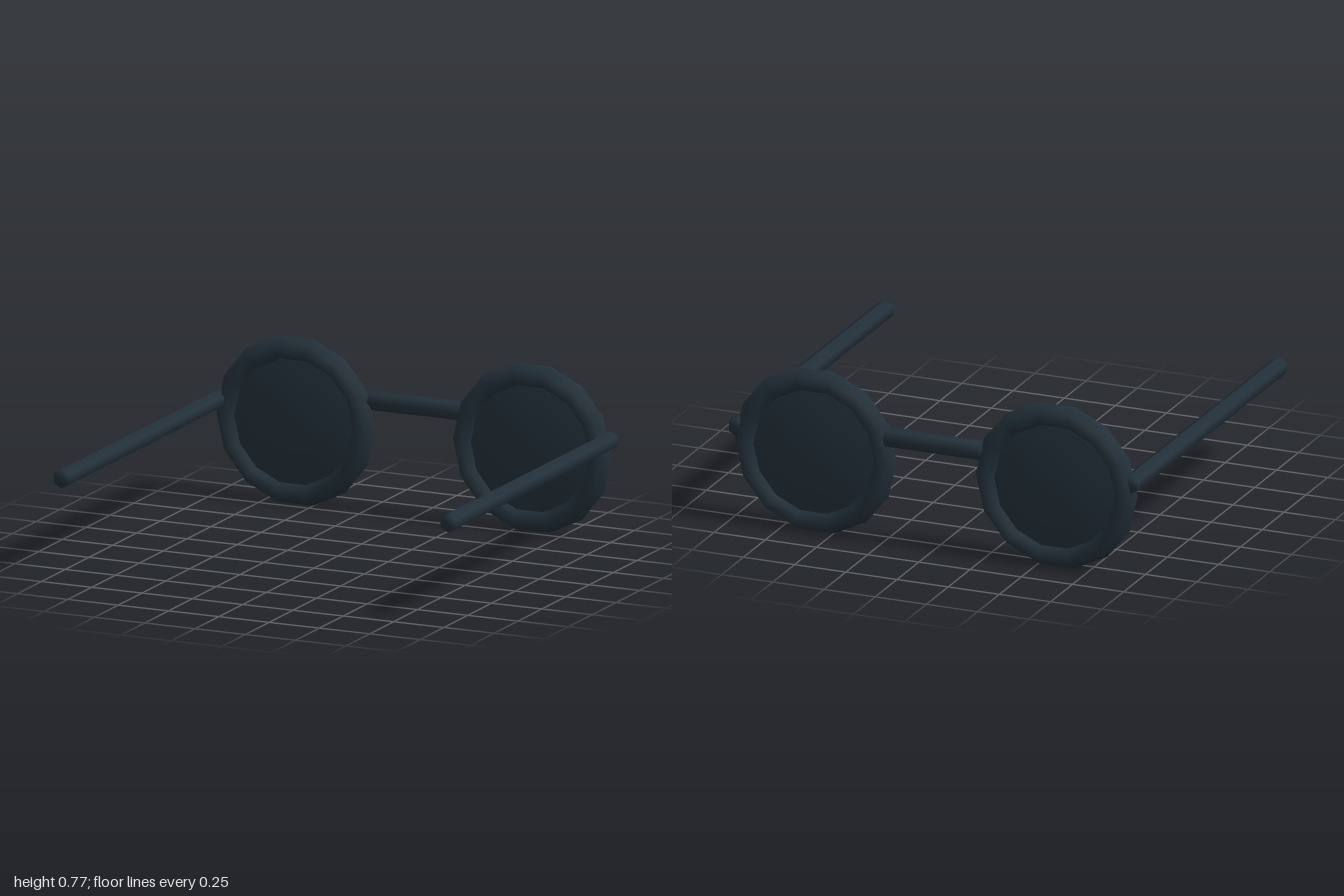
import * as THREE from 'three';

const SIDES = 14;          // sides of each round rim
const RIM_Z = -0.8;

// Closed smooth-shaded prism along y, with normals shared round its end edges
function prism(radius, length, sides, phiStart = 0) {
  const h = length / 2;
  const profile = [[0, -h], [radius, -h], [radius, h], [0, h]];
  return new THREE.LatheGeometry(profile.map(([x, y]) => new THREE.Vector2(x, y)), sides, phiStart);
}

export function createModel() {
  const group = new THREE.Group();
  group.name = 'roundGlasses';
  const darkSlate = new THREE.MeshStandardMaterial({ color: 0x23303a });
  darkSlate.name = 'darkSlate';

  const add = (name, geometry, x, y, z) => {
    const mesh = new THREE.Mesh(geometry, darkSlate);
    mesh.name = name;
    mesh.position.set(x, y, z);
    group.add(mesh);
  };

  const rim = new THREE.TorusGeometry(0.337, 0.058, 6, SIDES);
  const lens = prism(0.31, 0.052, SIDES, Math.PI / 2).rotateX(Math.PI / 2);
  const temple = prism(0.045, 1.7, 6).rotateX(Math.PI / 2);
  const bridge = prism(0.045, 0.46, 6).rotateZ(Math.PI / 2);

  // Rim, lens and temple arm on each side
  for (const [side, s] of [['left', 1], ['right', -1]]) {
    // turn the right-hand pair so a corner points outward on both sides
    const rimGeo = s > 0 ? rim : rim.clone().rotateZ(Math.PI);
    const lensGeo = s > 0 ? lens : lens.clone().rotateZ(Math.PI);
    add(side + 'Rim', rimGeo, s * 0.588, 0.385, RIM_Z);
    add(side + 'Lens', lensGeo, s * 0.588, 0.385, RIM_Z);
    add(side + 'Temple', temple, s * 0.961, 0.45, 0.02);
  }

  // Bar across the nose
  add('bridge', bridge, 0, 0.51, -0.83);
  return group;
}
